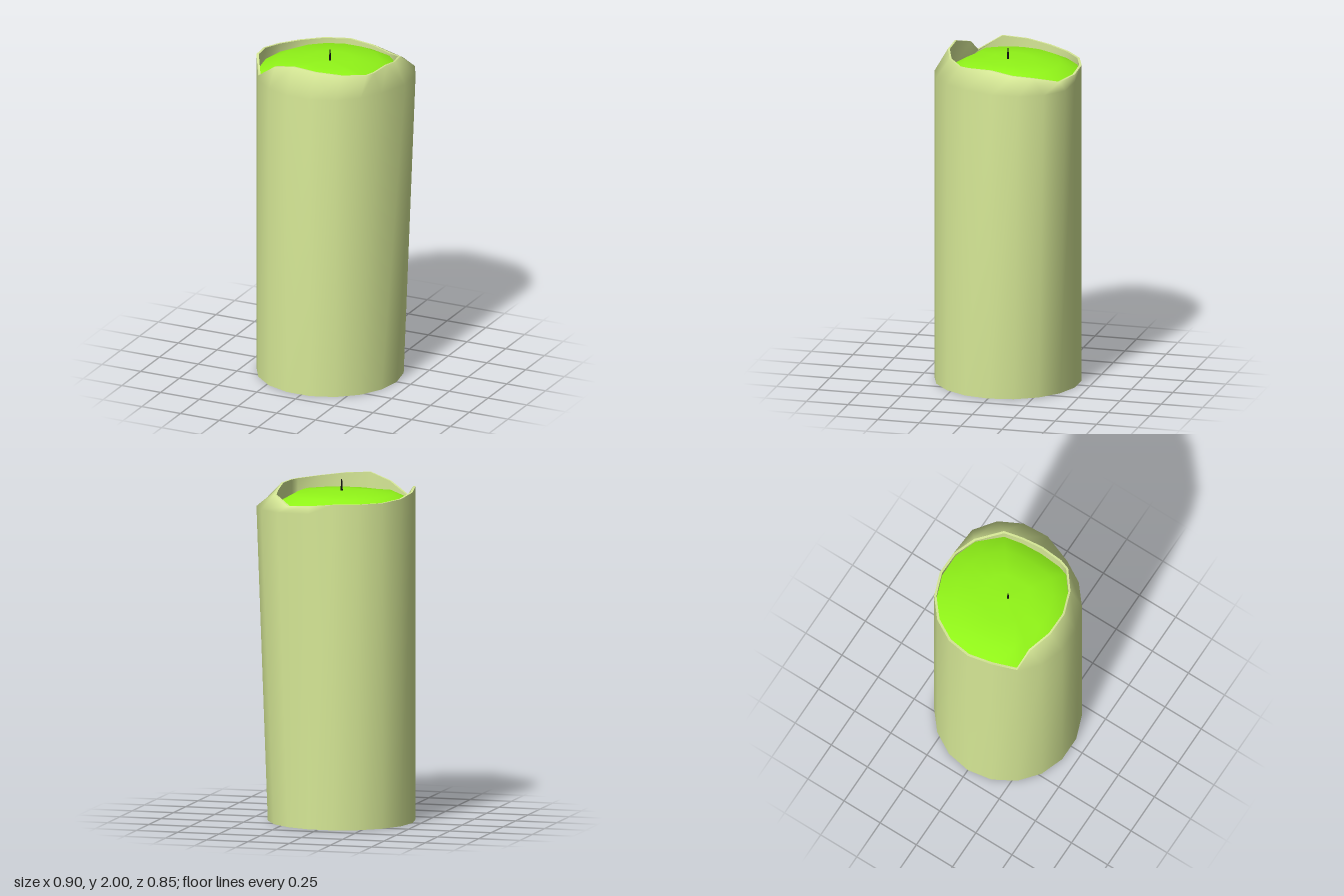
import * as THREE from 'three';

const SIDES = 18, RADIUS = 0.43, CX = -0.02;

// Ring of points around the candle axis at one height
function ring(radius, y) {
  return Array.from({ length: SIDES }, (_, k) => {
    const a = (k / SIDES) * Math.PI * 2;
    return [CX + radius * Math.cos(a), y, radius * Math.sin(a)];
  });
}

// Surface through successive rings, smooth across each strip
function loft(rings) {
  const index = [];
  for (let r = 0; r < rings.length - 1; r++) {
    for (let k = 0; k < SIDES; k++) {
      const n = (k + 1) % SIDES, a = r * SIDES, b = a + SIDES;
      index.push(a + k, b + k, a + n, a + n, b + k, b + n);
    }
  }
  const geo = new THREE.BufferGeometry();
  geo.setAttribute('position', new THREE.Float32BufferAttribute(rings.flat(2), 3));
  geo.setIndex(index);
  geo.computeVertexNormals();
  return geo;
}

export function createModel() {
  const group = new THREE.Group();
  const shell = new THREE.MeshStandardMaterial({ color: 0xd6e896 });
  const green = new THREE.MeshStandardMaterial({ color: 0x91f518 });
  const black = new THREE.MeshStandardMaterial({ color: 0x111111 });
  const add = (name, geo, mat) => {
    const mesh = new THREE.Mesh(geo, mat);
    mesh.name = name;
    group.add(mesh);
    return mesh;
  };

  const base = ring(RADIUS, 0);

  // Shoulder bulges outwards at the back left corner
  const shoulder = ring(RADIUS, 1.85);
  const bulge = { 0: [0.45, -0.03], 17: [0.44, -0.19], 16: [0.37, -0.325], 15: [0.245, -0.42] };
  for (const k in bulge) [shoulder[k][0], shoulder[k][2]] = bulge[k];

  // Uneven melted rim, leaning inwards at the front and left
  const heights = [1.965, 1.965, 1.965, 1.975, 1.99, 2, 1.96, 1.88, 1.955,
    1.94, 1.92, 1.91, 1.91, 1.91, 1.895, 1.885, 1.93, 1.94];
  const lean = {
    0: [0.345, 0], 1: [0.334, 0.14], 2: [0.314, 0.2], 3: [0.2, 0.29], 4: [0.055, 0.342],
    5: [-0.095, 0.342], 6: [-0.235, 0.29], 16: [0.315, -0.245], 17: [0.338, -0.13],
  };
  const rim = ring(RADIUS, 0).map(([x, , z], k) => {
    const [px, pz] = lean[k] ?? [x, z];
    return [px, heights[k], pz];
  });

  // Copy of the rim pulled towards the axis
  const inset = (scale, y) => rim.map((p) => [
    CX + (p[0] - CX) * scale, y ?? p[1], p[2] * scale]);
  const innerRim = inset(0.967);
  const waxEdge = inset(0.967, 1.87);

  add('body', loft([base, shoulder, rim]), shell);
  add('bottom', loft([ring(0, 0), base]), shell);
  add('rim', loft([rim, innerRim]), shell);
  add('innerWall', loft([innerRim, waxEdge]), shell);

  // Domed wax pool
  add('wax', loft([waxEdge, inset(0.72, 1.92), inset(0.35, 1.932), ring(0, 1.935)]), green);

  // Wick
  const wick = add('wick', new THREE.CylinderGeometry(0.003, 0.008, 0.08, 8), black);
  wick.position.set(CX, 1.96, 0);

  return group;
}
